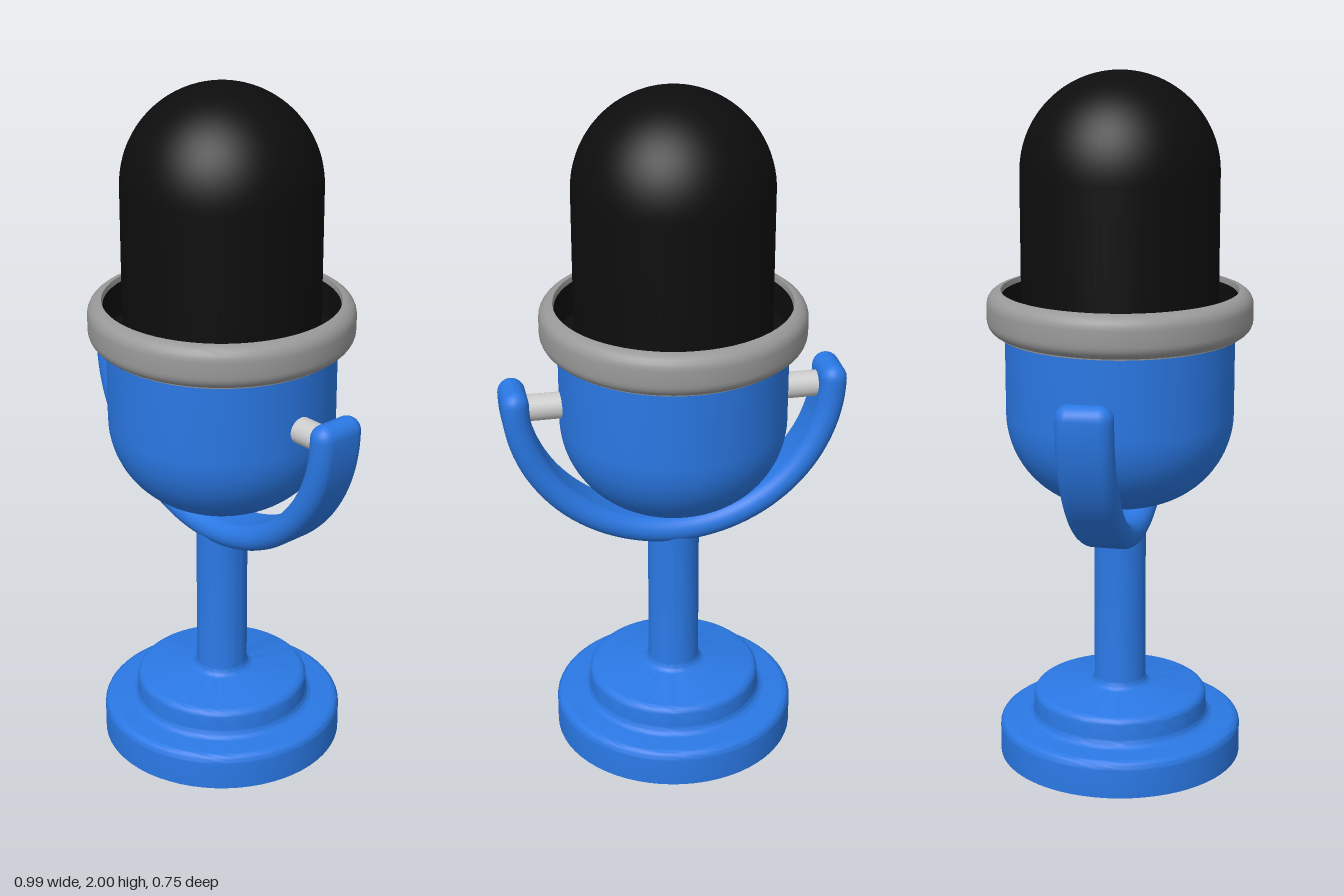
import * as THREE from 'three';
import { toCreasedNormals } from 'three/addons/utils/BufferGeometryUtils.js';

const material = (color) => new THREE.MeshStandardMaterial({ color });
const blue = material(0x2a78e4);
const black = material(0x0d0d0d);
const darkGrey = material(0x999999);
const lightGrey = material(0xcccccc);

// Points along an arc, angles in degrees
function arc(cx, cy, r, from, to, steps = 6) {
  const points = [];
  for (let i = 0; i <= steps; i++) {
    const a = THREE.MathUtils.degToRad(from + ((to - from) * i) / steps);
    points.push([cx + r * Math.cos(a), cy + r * Math.sin(a)]);
  }
  return points;
}

// Turned part; the profile runs with its outside on the right
function turned(name, profile, mat) {
  const points = profile.map(([x, y]) => new THREE.Vector2(Math.max(0, x), y));
  const mesh = new THREE.Mesh(toCreasedNormals(new THREE.LatheGeometry(points, 64), 0.6), mat);
  mesh.name = name;
  return mesh;
}

// Half-ellipse strap with a stadium cross-section and rounded ends
function yokeGeometry() {
  const rx = 0.456, ry = 0.445, cy = 1.136, thick = 0.039, wide = 0.08;
  const arcSteps = 56, capSteps = 6, sides = 28;
  const stations = [];
  const add = (t, inset, push) => stations.push({ t, inset, push });
  for (let i = 0; i < capSteps; i++) {
    const a = (i / capSteps) * Math.PI / 2;
    add(Math.PI, thick * (1 - Math.sin(a)), thick * Math.cos(a));
  }
  for (let i = 0; i <= arcSteps; i++) add(Math.PI * (1 + i / arcSteps), 0, 0);
  for (let i = capSteps - 1; i >= 0; i--) {
    const a = (i / capSteps) * Math.PI / 2;
    add(2 * Math.PI, thick * (1 - Math.sin(a)), thick * Math.cos(a));
  }

  const positions = [], index = [];
  for (const { t, inset, push } of stations) {
    const normal = new THREE.Vector2(Math.cos(t) / rx, Math.sin(t) / ry).normalize();
    const x = rx * Math.cos(t), y = cy + ry * Math.sin(t) + push;
    const r = thick - inset;
    for (let j = 0; j < sides; j++) {
      const a = ((j + 0.5) / sides) * Math.PI * 2;
      const n = r * Math.cos(a);
      const z = r * Math.sin(a) + Math.sign(Math.sin(a)) * (wide - thick);
      positions.push(x + normal.x * n, y + normal.y * n, z);
    }
  }
  for (let i = 0; i < stations.length - 1; i++) {
    for (let j = 0; j < sides; j++) {
      const a = i * sides + j, b = i * sides + ((j + 1) % sides);
      index.push(a, a + sides, b, b, a + sides, b + sides);
    }
  }
  const geometry = new THREE.BufferGeometry();
  geometry.setAttribute('position', new THREE.Float32BufferAttribute(positions, 3));
  geometry.setIndex(index);
  // Turn the faces outward if the sweep ran the other way
  geometry.computeVertexNormals();
  const k = (capSteps + arcSteps / 2) * sides + Math.floor(sides / 4);
  if (geometry.attributes.normal.getZ(k) < 0) {
    geometry.setIndex(index.reverse());
    geometry.computeVertexNormals();
  }
  return geometry;
}

export function createModel() {
  const model = new THREE.Group();
  model.name = 'microphone';

  // Stepped foot flowing into the post
  model.add(turned('standBase', [
    [0, 0], [0.355, 0],
    ...arc(0.33, 0.084, 0.025, 0, 90),
    ...arc(0.28, 0.134, 0.025, 270, 180),
    ...arc(0.23, 0.172, 0.025, 0, 83),
    ...arc(0.1, 0.233, 0.025, 263, 180),
    [0.075, 0.69], [0, 0.69],
  ], blue));

  // Curved yoke
  const yoke = new THREE.Mesh(yokeGeometry(), blue);
  yoke.name = 'yoke';
  model.add(yoke);

  // Pivot pins joining yoke and body
  for (const side of [-1, 1]) {
    const pin = new THREE.Mesh(new THREE.CylinderGeometry(0.038, 0.038, 0.17, 32), lightGrey);
    pin.name = side > 0 ? 'leftPivotPin' : 'rightPivotPin';
    pin.rotation.z = Math.PI / 2;
    pin.position.set(side * 0.37, 1.102, 0);
    model.add(pin);
  }

  // Lower body
  model.add(turned('bodyCup', [
    [0, 0.775], ...arc(0.06, 1.04, 0.265, -90, 0, 20), [0.325, 1.29],
  ], blue));

  // Rounded collar
  model.add(turned('collarRing', [
    [0.32, 1.27], [0.345, 1.27],
    ...arc(0.335, 1.312, 0.04, -75, 0),
    ...arc(0.335, 1.355, 0.04, 0, 90),
    [0.333, 1.38], [0.333, 1.28],
  ], darkGrey));

  // Dark recess inside the collar
  model.add(turned('collarLining', [[0.332, 1.38], [0.332, 1.28], [0, 1.28]], black));

  // Domed head
  model.add(turned('domedHead', [
    [0.278, 1.27], ...arc(0, 1.722, 0.278, 0, 90, 24),
  ], black));

  return model;
}
